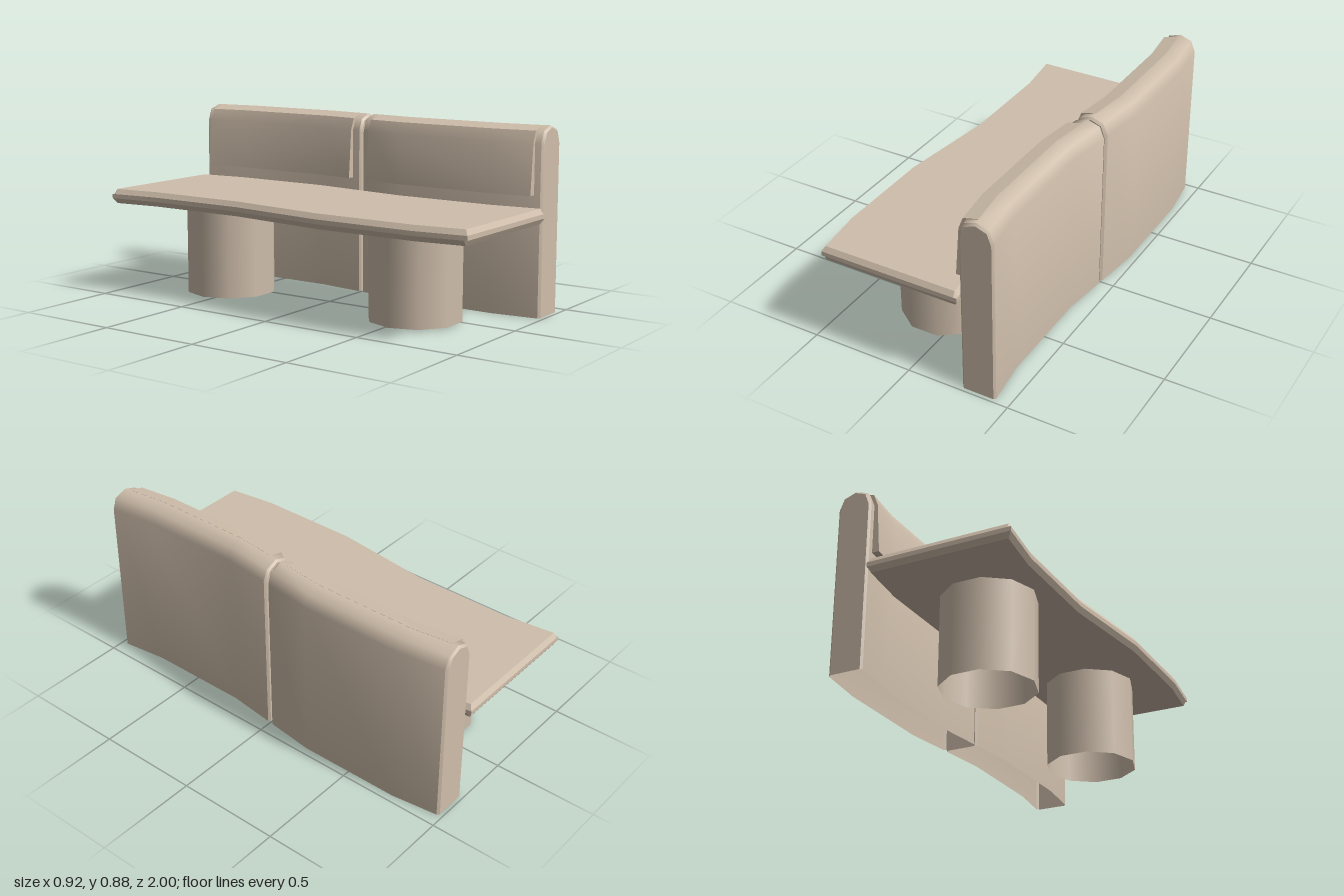
import * as THREE from 'three';
import { mergeGeometries, toCreasedNormals } from 'three/addons/utils/BufferGeometryUtils.js';

const beige = new THREE.MeshStandardMaterial({ color: 0xcfbeab, side: THREE.DoubleSide });
beige.name = 'beige';

// sideways sway of the bench along its length
const sway = (z) => -Math.sign(z) * 0.031 * Math.min(1, Math.abs(z) / 0.25, (1 - Math.abs(z)) / 0.25);

function fromTriangles(points, crease) {
  const geo = new THREE.BufferGeometry();
  geo.setAttribute('position', new THREE.Float32BufferAttribute(points.flat(), 3));
  geo.computeVertexNormals();
  return toCreasedNormals(geo, crease);
}

// skin between [z, profile] sections that follow the sway; flat caps and optional hard bevel bands at the ends
function loft(sections, { closed = true, bevel = false, crease = 0.9 } = {}) {
  const rings = sections.map(([z, profile]) => profile.map(([x, y]) => [x + sway(z), y, z]));
  const n = rings[0].length;
  const skin = (from, to) => {
    const tris = [];
    for (let i = from; i < to; i++) {
      for (let j = 0; j < (closed ? n : n - 1); j++) {
        const k = (j + 1) % n;
        const a = rings[i][j], b = rings[i][k], c = rings[i + 1][k], d = rings[i + 1][j];
        tris.push(a, b, c, a, c, d);
      }
    }
    return fromTriangles(tris, crease);
  };
  const cap = (ring) => {
    const tris = [];
    for (let j = 1; j < n - 1; j++) tris.push(ring[0], ring[j], ring[j + 1]);
    return fromTriangles(tris, 0.1);
  };
  const last = rings.length - 1;
  const parts = bevel ? [skin(0, 1), skin(1, last - 1), skin(last - 1, last)] : [skin(0, last)];
  parts.push(cap([...rings[0]].reverse()), cap(rings[last]));
  return mergeGeometries(parts);
}

export function createModel() {
  const group = new THREE.Group();
  const add = (name, geo) => {
    const mesh = new THREE.Mesh(geo, beige);
    mesh.name = name;
    group.add(mesh);
    return mesh;
  };

  // seat slab with chamfered rim
  const seatProfile = (y0, y1) => [
    [-0.414, y0], [0.244, y0], [0.26, 0.465], [0.26, 0.486],
    [0.244, y1], [-0.414, y1], [-0.43, 0.486], [-0.43, 0.465],
  ];
  const full = seatProfile(0.44, 0.51), rim = seatProfile(0.465, 0.486);
  add('seat', loft([
    [-1, rim], ...[-0.985, -0.75, -0.25, 0.25, 0.75, 0.985].map((z) => [z, full]), [1, rim],
  ], { bevel: true, crease: 0.4 }));

  // backrest panel, open underneath, and its pad
  const panel = [[0.433, 0], [0.433, 0.8], [0.41, 0.855], [0.35, 0.875], [0.29, 0.855], [0.267, 0.8], [0.267, 0]];
  const panelEnd = panel.map(([x, y]) => [0.35 + (x - 0.35) * 0.88, y * 0.989]);
  const pad = [[0.28, 0.565], [0.345, 0.86], [0.345, 0.874], [0.272, 0.856], [0.25, 0.8], [0.232, 0.565]];

  for (const [side, s] of [['Left', -1], ['Right', 1]]) {
    const along = (list) => list.map(([z, p]) => [z * s, p]).sort((a, b) => a[0] - b[0]);

    add('backPanel' + side, loft(along([
      [0.005, panelEnd], [0.015, panel], [0.25, panel], [0.75, panel], [0.972, panel], [0.982, panelEnd],
    ]), { closed: false, bevel: true }));

    add('backPad' + side, loft(along([0.055, 0.25, 0.75, 0.943].map((z) => [z, pad]))));

    // round open pedestal
    const leg = add('pedestal' + side, new THREE.CylinderGeometry(0.219, 0.219, 0.433, 10, 1, true, Math.PI / 2));
    leg.position.set(-0.085, 0.2245, 0.535 * s);
  }
  return group;
}
